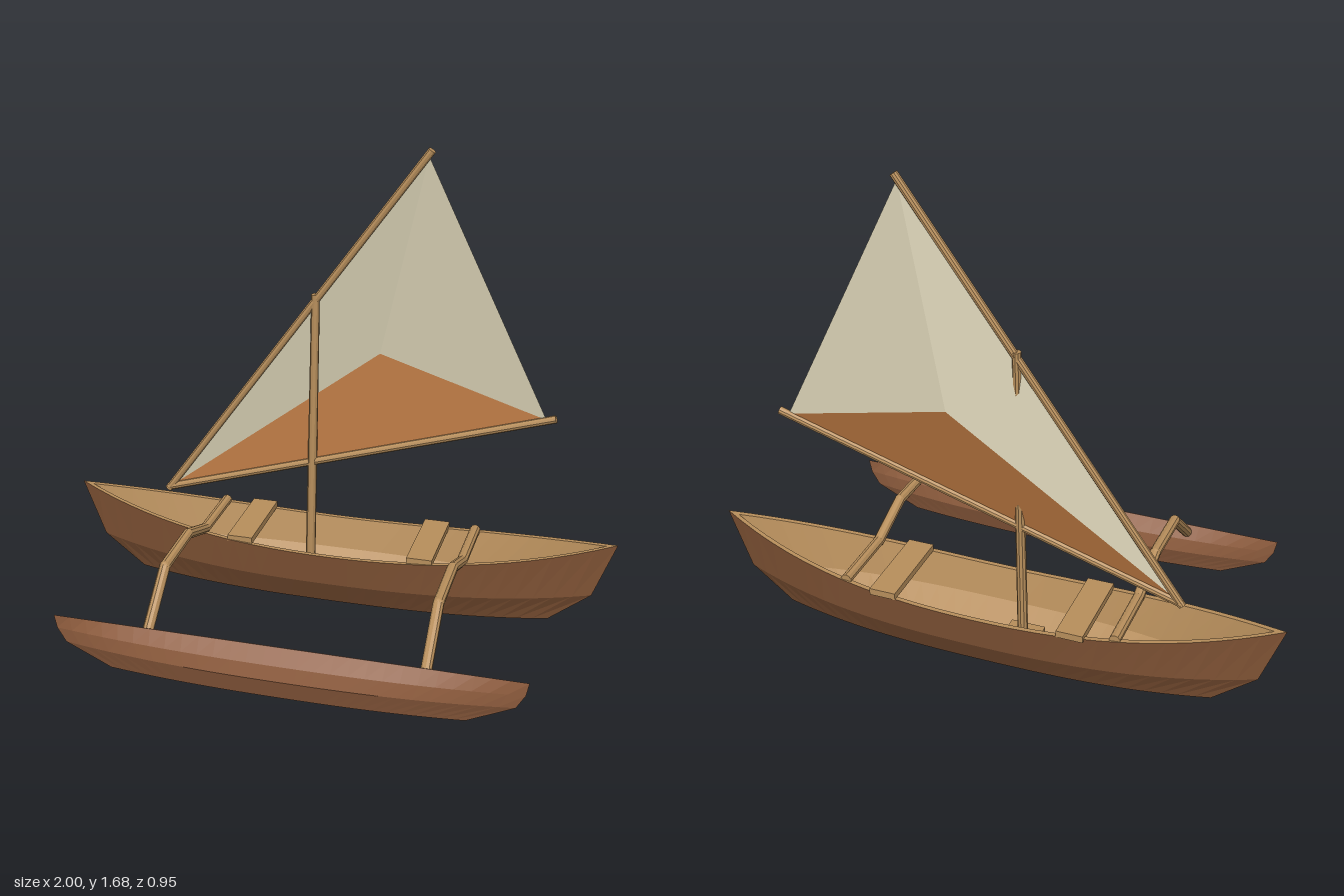
import * as THREE from 'three';

const paint = (color, side = THREE.FrontSide) =>
  new THREE.MeshStandardMaterial({ color, side, flatShading: true });
const bark = paint(0x875838);
const floatWood = paint(0x8f5d3e);
const timber = paint(0xb88f5c);
const canvas = paint(0xd8d0b4, THREE.DoubleSide);
const ochre = paint(0xb5743f, THREE.DoubleSide);

const HULL_Z = -0.305;
const FLOAT_Z = 0.42;

function mesh(name, geometry, material, parent) {
  const m = new THREE.Mesh(geometry, material);
  m.name = name;
  parent.add(m);
  return m;
}

// Skin through lengthwise rows [half length, half width, height(x)], each pinched to a point at both ends
function loft(rows, power, closed = false, n = 28) {
  const pos = [], index = [];
  for (const [len, width, height] of rows) {
    for (let j = 0; j <= n; j++) {
      const t = -1 + (2 * j) / n, x = len * t;
      pos.push(x, height(x), width * (1 - Math.abs(t) ** power));
    }
  }
  const strips = closed ? rows.length : rows.length - 1;
  for (let i = 0; i < strips; i++) {
    for (let j = 0; j < n; j++) {
      const a = i * (n + 1) + j, b = ((i + 1) % rows.length) * (n + 1) + j;
      index.push(a, b, a + 1, b, b + 1, a + 1);
    }
  }
  const g = new THREE.BufferGeometry();
  g.setAttribute('position', new THREE.Float32BufferAttribute(pos, 3));
  g.setIndex(index);
  g.computeVertexNormals();
  return g;
}

// Mirror a half profile to the far side
const bothSides = (half) => [...half, ...half.map(([l, w, h]) => [l, -w, h]).reverse()];

// Round pole between two points
function pole(name, a, b, r0, r1, parent) {
  const from = new THREE.Vector3(...a), to = new THREE.Vector3(...b);
  const dir = to.clone().sub(from);
  const m = mesh(name, new THREE.CylinderGeometry(r1, r0, dir.length(), 10), timber, parent);
  m.position.copy(from).add(to).multiplyScalar(0.5);
  m.quaternion.setFromUnitVectors(new THREE.Vector3(0, 1, 0), dir.normalize());
  return m;
}

function panel(name, points, material, parent) {
  const g = new THREE.BufferGeometry();
  g.setAttribute('position', new THREE.Float32BufferAttribute(points.flat(), 3));
  g.computeVertexNormals();
  return mesh(name, g, material, parent);
}

function buildHull() {
  const hull = new THREE.Group();
  hull.name = 'hull';
  hull.position.z = HULL_Z;
  const sheer = (x) => 0.225 + 0.1 * x * x;
  const outer = bothSides([
    [1, 0.17, sheer],
    [0.92, 0.14, (x) => 0.1 + 0.02 * x * x],
    [0.77, 0.08, () => 0],
  ]);
  mesh('hullShell', loft(outer, 2.6), bark, hull);

  // Gunwale rim, inner walls and floor
  const inner = bothSides([
    [1, -0.17, sheer],
    [0.96, -0.153, sheer],
    [0.88, -0.122, (x) => 0.115 + 0.02 * x * x],
    [0.78, -0.065, () => 0.035],
  ]);
  mesh('hullInterior', loft(inner, 2.6), timber, hull);

  // Thwarts
  for (const x of [-0.333, 0.328]) {
    mesh('thwart', new THREE.BoxGeometry(0.092, 0.024, 0.32), timber, hull).position.set(x, 0.243, -0.005);
  }
  mesh('mastStep', new THREE.BoxGeometry(0.12, 0.06, 0.105), timber, hull).position.set(-0.112, 0.062, 0);
  return hull;
}

function buildFloat() {
  const rows = bothSides([
    [0.81, 0.001, () => 0.172],
    [0.8, 0.044, () => 0.125],
    [0.77, 0.057, () => 0.075],
    [0.61, 0.032, () => 0],
  ]);
  const m = new THREE.Mesh(loft(rows, 2.4, true), floatWood);
  m.name = 'outriggerFloat';
  m.position.z = FLOAT_Z;
  return m;
}

// Bent crossbeam joining hull and float
function buildBeam(x) {
  const beam = new THREE.Group();
  beam.name = 'outriggerBeam';
  const r = 0.019;
  const path = [[0.25, -0.445], [0.25, -0.19], [0.315, -0.01], [0.305, 0.225], [0.145, 0.41]]
    .map(([y, z]) => [x, y, z]);
  for (let i = 0; i < path.length - 1; i++) {
    pole('beamSegment', path[i], path[i + 1], r, r, beam);
    if (i > 0) mesh('beamJoint', new THREE.SphereGeometry(r, 10, 8), timber, beam).position.set(...path[i]);
  }
  return beam;
}

function buildRig() {
  const rig = new THREE.Group();
  rig.name = 'rig';
  rig.position.z = HULL_Z;
  pole('mast', [-0.112, 0.05, 0], [-0.091, 1.145, 0], 0.018, 0.015, rig);
  pole('yard', [-0.657, 0.338, 0], [0.305, 1.675, 0], 0.014, 0.014, rig);
  pole('boom', [-0.657, 0.345, 0], [0.76, 0.774, 0], 0.014, 0.014, rig);

  // Sail bellies back to a single point
  const tack = [-0.64, 0.355, 0], peak = [0.295, 1.655, 0], clew = [0.727, 0.767, 0];
  const belly = [0.125, 0.925, -0.065];
  panel('sailUpper', [tack, belly, peak, belly, clew, peak], canvas, rig);
  panel('sailFoot', [tack, clew, belly], ochre, rig);
  return rig;
}

export function createModel() {
  const model = new THREE.Group();
  model.name = 'outriggerCanoe';
  model.add(buildHull(), buildFloat(), buildBeam(-0.478), buildBeam(0.474), buildRig());
  return model;
}
